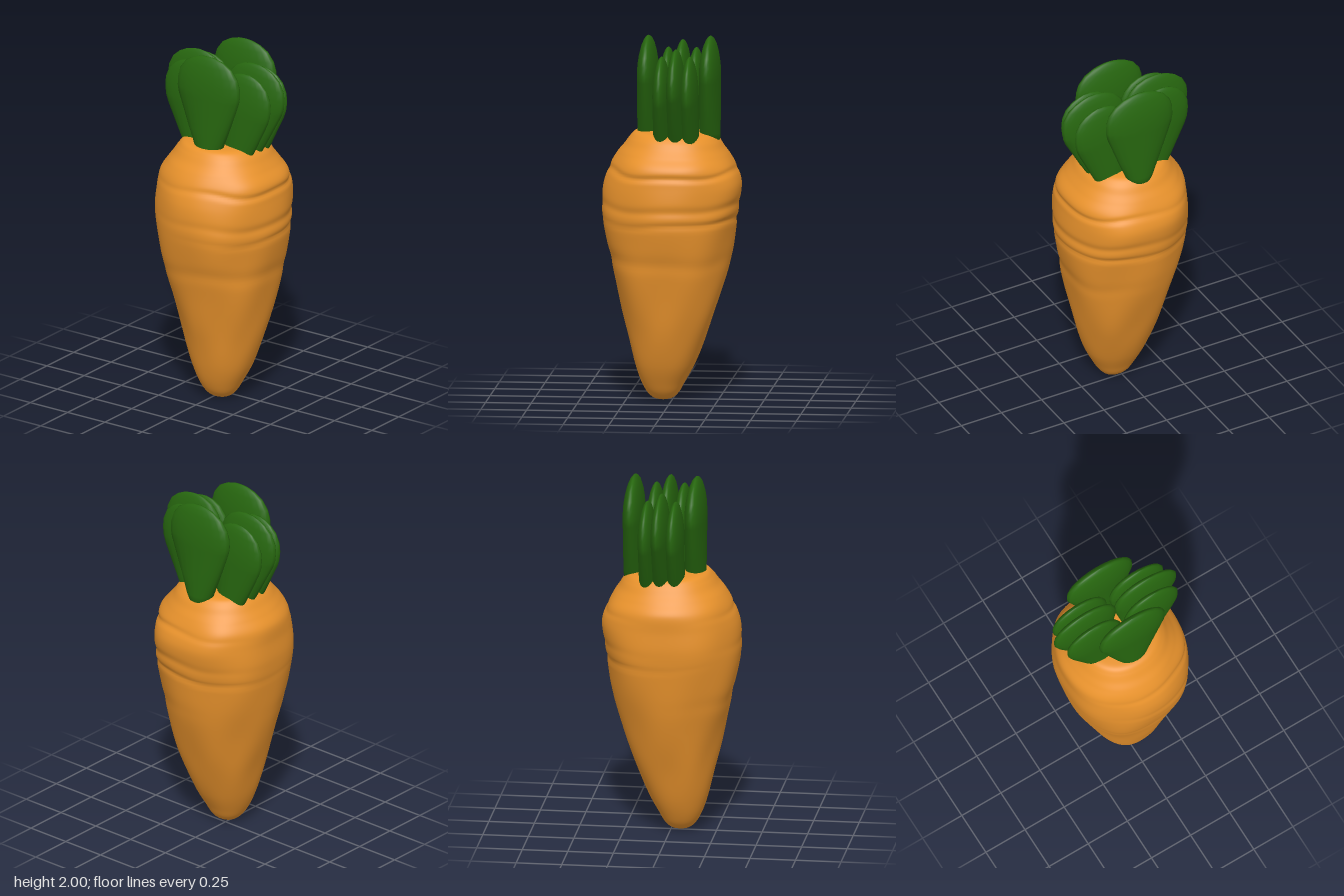
import * as THREE from 'three';

// Root outline: [y, left x, right x, back z, front z]
const ROOT = [
  [0.002, -0.055, -0.045, 0.025, 0.035],
  [0.015, -0.105, 0.005, -0.03, 0.085],
  [0.045, -0.138, 0.037, -0.062, 0.115],
  [0.1, -0.168, 0.068, -0.095, 0.147],
  [0.2, -0.202, 0.122, -0.138, 0.195],
  [0.4, -0.247, 0.203, -0.2, 0.255],
  [0.6, -0.294, 0.268, -0.255, 0.3],
  [0.8, -0.342, 0.32, -0.305, 0.335],
  [1.0, -0.377, 0.354, -0.337, 0.367],
  [1.1, -0.38, 0.37, -0.345, 0.37],
  [1.2, -0.37, 0.378, -0.34, 0.362],
  [1.3, -0.332, 0.342, -0.335, 0.347],
  [1.36, -0.297, 0.31, -0.297, 0.302],
  [1.4, -0.264, 0.282, -0.268, 0.272],
  [1.44, -0.235, 0.257, -0.242, 0.245],
  [1.468, -0.208, 0.228, -0.215, 0.213],
  [1.479, -0.16, 0.18, -0.165, 0.165],
  [1.482, -0.01, 0.03, -0.01, 0.01],
];

// Leaf outline: [y, half width, half thickness], unit widths scaled per leaf
const LEAF = [
  [-0.585, 0, 0], [-0.58, 0.04, 0.7], [-0.565, 0.068, 0.96], [-0.53, 0.085, 1], [-0.42, 0.13, 1],
  [-0.24, 0.199, 1], [-0.2, 0.207, 0.99], [-0.15, 0.205, 0.93], [-0.1, 0.19, 0.8],
  [-0.05, 0.152, 0.59], [-0.02, 0.1, 0.37], [-0.005, 0.05, 0.18], [0, 0, 0],
];

// Closed skin over stacked rings running upward; point(row, angle) gives x, y, z
function skin(rows, sides, point) {
  const pos = [], idx = [];
  for (let i = 0; i < rows; i++) {
    for (let j = 0; j < sides; j++) pos.push(...point(i, (j / sides) * Math.PI * 2));
  }
  for (let i = 0; i < rows - 1; i++) {
    for (let j = 0; j < sides; j++) {
      const k = (j + 1) % sides;
      const a = i * sides + j, b = i * sides + k, c = a + sides, d = b + sides;
      idx.push(a, c, b, b, c, d);
    }
  }
  // caps on the two end rings
  const last = (rows - 1) * sides;
  for (let j = 1; j < sides - 1; j++) {
    idx.push(0, j, j + 1, last, last + j + 1, last + j);
  }
  const geo = new THREE.BufferGeometry();
  geo.setAttribute('position', new THREE.Float32BufferAttribute(pos, 3));
  geo.setIndex(idx);
  geo.computeVertexNormals();
  return geo;
}

// Ring-shaped crease that wavers in height and fades around the root
function crease(y, a, height, width, depth, facing) {
  const h = height + 0.012 * Math.sin(2 * a + facing) + 0.006 * Math.sin(5 * a);
  const fade = 0.5 + 0.5 * Math.cos(a - facing);
  return -depth * fade * Math.exp(-(((y - h) / width) ** 2));
}

function rootRelief(y, a) {
  const body = THREE.MathUtils.smoothstep(y, 0.1, 0.5) * (1 - THREE.MathUtils.smoothstep(y, 1.3, 1.42));
  const lumps = 0.003 * Math.sin(3 * a + 5 * y) * Math.sin(7 * y + 1)
    + 0.003 * Math.sin(5 * a - 8 * y + 2) + 0.002 * Math.sin(9 * y + 7 * a);
  return body * lumps
    + crease(y, a, 1.265, 0.016, 0.011, 1.5) + crease(y, a, 1.08, 0.025, 0.008, 1.2)
    + crease(y, a, 1.0, 0.016, 0.009, 0.6) + crease(y, a, 0.78, 0.04, 0.006, 2.2);
}

// Slightly squared round section
const squared = v => Math.sign(v) * Math.abs(v) ** (2 / 2.2);

function rootGeometry() {
  // Smooth the outline through two curves: x extents and z extents
  const xs = new THREE.CatmullRomCurve3(ROOT.map(r => new THREE.Vector3(r[1], r[0], r[2])), false, 'centripetal');
  const zs = new THREE.CatmullRomCurve3(ROOT.map(r => new THREE.Vector3(r[3], r[0], r[4])), false, 'centripetal');
  const steps = 170;
  const rings = [];
  for (let i = 0; i <= steps; i++) {
    rings.push([xs.getPoint(i / steps), zs.getPoint(i / steps)]);
  }
  return skin(rings.length, 96, (i, a) => {
    const [px, pz] = rings[i];
    const y = (px.y + pz.y) / 2;
    const r = rootRelief(y, a);
    const rx = (px.z - px.x) / 2 + r, rz = (pz.z - pz.x) / 2 + r;
    const x = (px.x + px.z) / 2 + rx * squared(Math.cos(a));
    const z = (pz.x + pz.z) / 2 + rz * squared(Math.sin(a));
    // crown leans slightly down toward +x
    return [x, y - 0.035 * x * THREE.MathUtils.smoothstep(y, 1.2, 1.45), z];
  });
}

function leafGeometry(width, thickness) {
  return skin(LEAF.length, 20, (i, a) => {
    const [y, w, t] = LEAF[i];
    return [t * thickness * Math.cos(a), y, w * width * Math.sin(a)];
  });
}

export function createModel() {
  const model = new THREE.Group();
  const orange = new THREE.MeshStandardMaterial({ color: 0xe8922c });
  const green = new THREE.MeshStandardMaterial({ color: 0x27670f });

  const root = new THREE.Mesh(rootGeometry(), orange);
  root.name = 'root';
  model.add(root);

  const leaves = new THREE.Group();
  leaves.name = 'leaves';
  model.add(leaves);

  function addLeaf(name, x, top, z, width, thickness, tilt) {
    const leaf = new THREE.Mesh(leafGeometry(width, thickness), green);
    leaf.name = name;
    leaf.position.set(x, top, z);
    leaf.rotation.x = tilt;
    leaves.add(leaf);
  }

  // Upright outer leaves
  addLeaf('rightLeaf', -0.136, 2, 0.005, 1, 0.058, 0);
  addLeaf('leftLeaf', 0.203, 2, 0.005, 1, 0.058, 0);

  // Front and back fans, leaning outward
  for (const [side, s] of [['front', 1], ['back', -1]]) {
    addLeaf(side + 'MiddleLeaf', 0.033, 1.947, s * 0.222, 0.95, 0.049, s * 0.16);
    addLeaf(side + 'RightLeaf', -0.045, 1.907, s * 0.21, 0.82, 0.048, s * 0.16);
    addLeaf(side + 'LeftLeaf', 0.108, 1.907, s * 0.21, 0.82, 0.048, s * 0.16);
  }
  return model;
}
